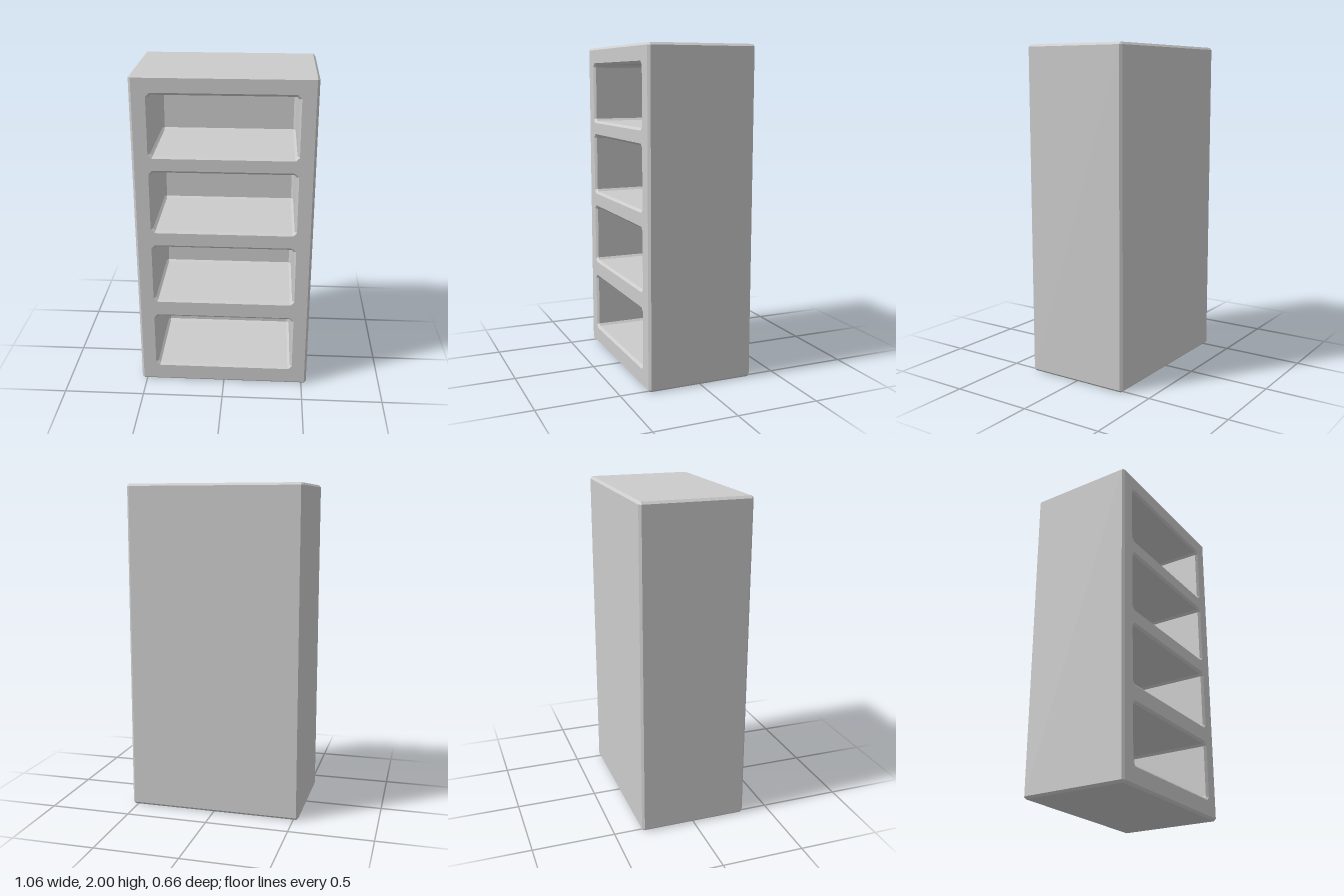
import * as THREE from 'three';

const W = 0.532, H = 1, D = 0.332; // half sizes of the case
const B = 0.014;                   // bevel width
const BACK = -0.21;                // back wall of the compartments
const OPEN_HALF = 0.437;           // half width of each opening
const OPENINGS = [[0.108, 0.485], [0.575, 0.965], [1.045, 1.442], [1.515, 1.902]];

const material = new THREE.MeshStandardMaterial({ color: 0xcccccc, flatShading: true });

// Counter-clockwise rectangle with corners cut by c
function cutRect(hw, y0, y1, c) {
  return [
    [-hw + c, y0], [hw - c, y0], [hw, y0 + c], [hw, y1 - c],
    [hw - c, y1], [-hw + c, y1], [-hw, y1 - c], [-hw, y0 + c],
  ].map(([x, y]) => new THREE.Vector2(x, y));
}

// Skin rings from front to back and cap the last one; inward turns the faces inside
function loft(rings, inward) {
  const pts = [];
  const tri = (a, b, c) => {
    if (new THREE.Triangle(a, b, c).getArea() < 1e-9) return;
    pts.push(...(inward ? [a, c, b] : [a, b, c]));
  };
  const loops = rings.map(({ outline, z }) => outline.map((p) => new THREE.Vector3(p.x, p.y, z)));
  for (let r = 0; r < loops.length - 1; r++) {
    const front = loops[r], back = loops[r + 1];
    front.forEach((a, i) => {
      const j = (i + 1) % front.length;
      tri(a, back[i], back[j]);
      tri(a, back[j], front[j]);
    });
  }
  const cap = loops[loops.length - 1];
  for (let i = 1; i < cap.length - 1; i++) tri(cap[0], cap[i + 1], cap[i]);
  const geometry = new THREE.BufferGeometry().setFromPoints(pts);
  geometry.computeVertexNormals();
  return geometry;
}

export function createModel() {
  const group = new THREE.Group();
  const add = (name, geometry) => {
    const mesh = new THREE.Mesh(geometry, material);
    mesh.name = name;
    group.add(mesh);
    return mesh;
  };

  // Case: sides, top, bottom and back with bevelled edges
  const inner = cutRect(W - B, B, 2 * H - B, 0);
  const outer = cutRect(W, 0, 2 * H, B);
  add('caseShell', loft([
    { outline: inner, z: D },
    { outline: outer, z: D - B },
    { outline: outer, z: -D + B },
    { outline: inner, z: -D },
  ], false));

  // Front frame with four openings, and a recess behind each one
  const frame = new THREE.Shape([inner[0], inner[1], inner[4], inner[5]]);
  OPENINGS.forEach(([y0, y1], i) => {
    const inset = (d, c) => cutRect(OPEN_HALF - d, y0 + d, y1 - d, c);
    const rim = inset(0, B * 1.6);
    const wall = inset(B, B);
    frame.holes.push(new THREE.Path(rim));
    add(`compartment${i + 1}`, loft([
      { outline: rim, z: D },
      { outline: wall, z: D - B },
      { outline: wall, z: BACK + B },
      { outline: inset(2 * B, 0), z: BACK },
    ], true));
  });
  add('frontFrame', new THREE.ShapeGeometry(frame)).position.z = D;

  return group;
}
